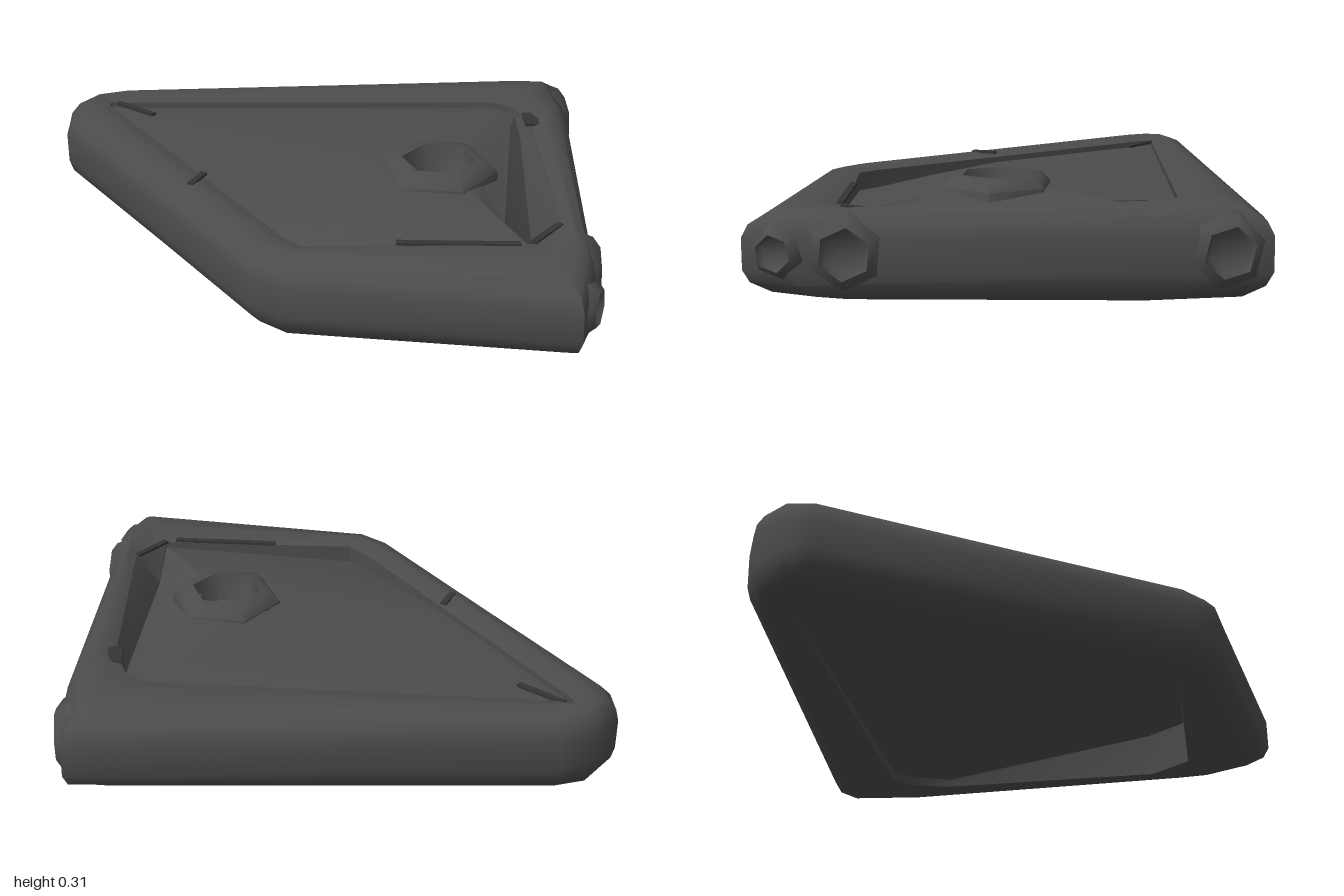
import * as THREE from 'three';
import { toCreasedNormals } from 'three/addons/utils/BufferGeometryUtils.js';

// Plan outlines [x, z], counter-clockwise from above, starting at the left tip
const OUTER = [[-0.94, 0.14], [-1, 0.24], [-1, 0.36], [-0.94, 0.43], [-0.32, 0.635], [0.16, 0.797],
  [0.27, 0.797], [0.995, 0.42], [0.95, 0.28], [0.31, -0.62], [0.14, -0.8], [0.07, -0.74]];
const INNER = [[-0.86, 0.24], [-0.9, 0.26], [-0.89, 0.28], [-0.84, 0.3], [-0.27, 0.5], [0.16, 0.65],
  [0.24, 0.66], [0.74, 0.27], [0.74, 0.12], [0.31, -0.4], [0.2, -0.47], [0.12, -0.47]];
const FRONT = 5, RIGHT = 8, BACK = 9;
const HUB = [0.28, 0.07];

// Ring of points part way between the outlines; level runs from -1 (underside)
// to 1 (top), and the rails get thinner towards the front
const ring = (t, level) => OUTER.map(([x, z], i) => [
  x + (INNER[i][0] - x) * t,
  0.15 + level * (0.135 - 0.0135 * z),
  z + (INNER[i][1] - z) * t]);

// Skin joining successive rings, optionally closed by a fan on the first ring
function skin(rings, fanIndex = -1) {
  const n = OUTER.length, index = [];
  for (let r = 0; r < rings.length - 1; r++) {
    for (let i = 0; i < n; i++) {
      const a = r * n + i, b = r * n + (i + 1) % n;
      index.push(a, b, b + n, a, b + n, a + n);
    }
  }
  if (fanIndex >= 0) {
    for (let i = 0; i < n; i++) {
      const j = (i + 1) % n;
      if (i !== fanIndex && j !== fanIndex) index.push(fanIndex, j, i);
    }
  }
  const g = new THREE.BufferGeometry();
  g.setAttribute('position', new THREE.Float32BufferAttribute(rings.flat(2), 3));
  g.setIndex(index);
  return toCreasedNormals(g, 0.75);
}

// Six-sided collar with a pit in its middle; profile is [radius, height]
function collar(profile) {
  const g = new THREE.LatheGeometry(profile.map(([r, y]) => new THREE.Vector2(r, y)), 6);
  return toCreasedNormals(g, 1.1);
}

export function createModel() {
  const model = new THREE.Group();
  const body = new THREE.MeshStandardMaterial({ color: 0x4c4c4c });
  body.name = 'charcoal';
  const dark = new THREE.MeshStandardMaterial({ color: 0x343434 });
  dark.name = 'dark seam';

  const add = (name, geometry, material) => {
    const mesh = new THREE.Mesh(geometry, material);
    mesh.name = name;
    model.add(mesh);
    return mesh;
  };

  // Rounded rails; the underside is flush at the front and sinks to the right corner
  const underside = ring(1, -0.93);
  underside[RIGHT - 1][1] = underside[RIGHT][1] = 0.165;
  for (let i = BACK; i < OUTER.length; i++) underside[i][1] = 0.04;
  add('frame', skin([
    underside, ring(0.97, -0.93), ring(0.62, -1), ring(0.28, -0.9),
    ring(0.07, -0.64), ring(0, -0.36), ring(0, 0.36), ring(0.07, 0.64),
    ring(0.28, 0.9), ring(0.62, 1), ring(1, 0.86),
  ], FRONT), body);

  // Panel edge, with a dip behind the front corner and a trough by the right rail
  const edge = ring(1, 0.72);
  edge[FRONT][1] = edge[FRONT + 1][1] = 0.2;
  edge[RIGHT] = [0.6, 0.25, 0.2];
  edge[BACK] = [0.25, 0.25, -0.37];
  const trough = edge.map((p) => [...p]);
  trough[RIGHT] = [0.67, 0.17, 0.16];
  trough[BACK] = [0.28, 0.22, -0.385];
  add('troughWall', skin([ring(1, 0.86), trough, edge]), body);

  // Panel rising to the hub, creased across the front
  const hubRing = edge.map(([x, , z]) => {
    const a = Math.atan2(z - HUB[1], x - HUB[0]);
    return [HUB[0] + 0.16 * Math.cos(a), 0.28, HUB[1] + 0.16 * Math.sin(a)];
  });
  const crease = edge.map((p, i) => p.map((v, k) => v + (hubRing[i][k] - v) * 0.06));
  crease[FRONT] = [0.18, 0.265, 0.41];
  crease[FRONT + 1] = [0.3, 0.265, 0.37];
  add('panel', skin([edge, crease, hubRing]), body);

  // Hub with a hexagonal pit
  const hub = add('hub', collar([[0.18, 0.22], [0.175, 0.285], [0.15, 0.312], [0.11, 0.318],
    [0.09, 0.23], [0, 0.2]]), body);
  hub.position.set(HUB[0], 0, HUB[1]);

  // Low sockets along the right side: x, z, radius, outward direction
  const sockets = [
    [0.229, -0.705, 0.12, 0.727, -0.687],
    [0.861, 0.155, 0.12, 0.815, -0.58],
    [0.961, 0.32, 0.085, 0.96, -0.28],
  ];
  for (const [x, z, r, nx, nz] of sockets) {
    const socket = add('sideSocket', collar([[r, -0.03], [r * 0.9, 0], [r * 0.64, 0.022],
      [r * 0.5, 0.003], [0, 0.003]]), body);
    socket.position.set(x, 0.16, z);
    socket.quaternion.setFromUnitVectors(new THREE.Vector3(0, 1, 0), new THREE.Vector3(nx, 0, nz).normalize());
  }

  // Thin dark seams lying on the rails: from, to, width, height
  const seams = [
    [-0.88, 0.25, -0.72, 0.25, 0.02, 0.262],
    [-0.27, 0.5, -0.25, 0.58, 0.02, 0.275],
    [0.27, -0.46, 0.33, -0.39, 0.06, 0.278],
    [0.74, 0.13, 0.74, 0.27, 0.02, 0.265],
    [0.44, 0.5, 0.72, 0.3, 0.02, 0.266],
  ];
  for (const [x1, z1, x2, z2, w, y] of seams) {
    const seam = add('seam', new THREE.BoxGeometry(Math.hypot(x2 - x1, z2 - z1), 0.008, w), dark);
    seam.position.set((x1 + x2) / 2, y, (z1 + z2) / 2);
    seam.rotation.y = -Math.atan2(z2 - z1, x2 - x1);
  }
  return model;
}
